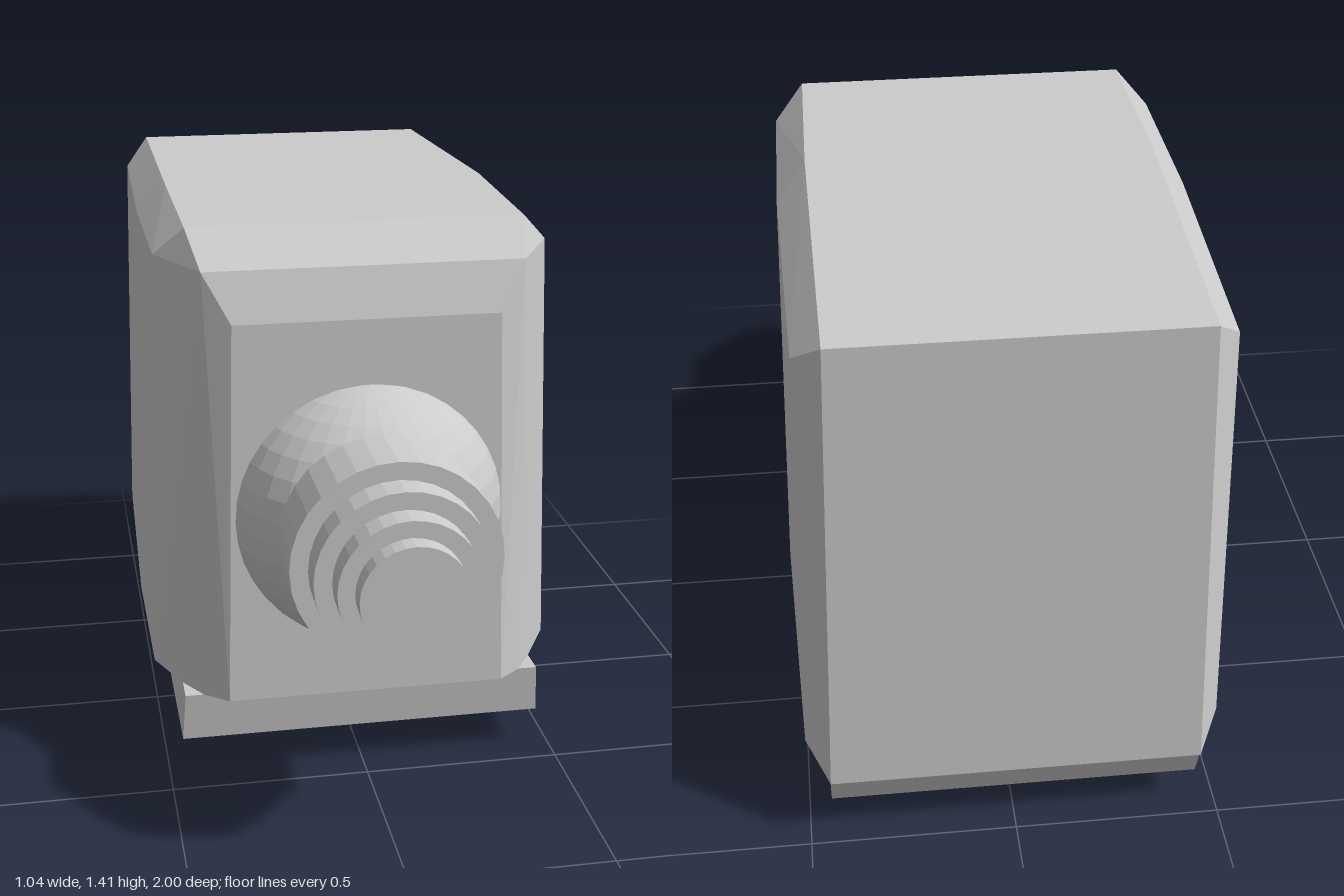
import * as THREE from 'three';
import { ConvexGeometry } from 'three/addons/geometries/ConvexGeometry.js';

const material = new THREE.MeshStandardMaterial({ color: 0xcccccc, flatShading: true });

function part(name, geometry, x = 0, y = 0, z = 0) {
  const mesh = new THREE.Mesh(geometry, material);
  mesh.name = name;
  mesh.position.set(x, y, z);
  return mesh;
}

// Convex solid from the corners of one half, mirrored across x.
function mirroredHull(corners) {
  const points = corners.flatMap(([x, y, z]) => [new THREE.Vector3(x, y, z), new THREE.Vector3(-x, y, z)]);
  return new ConvexGeometry(points);
}

export function createModel() {
  const model = new THREE.Group();
  model.name = 'model';

  // Chamfered housing, slightly tapered and bowed
  model.add(part('housing', mirroredHull([
    // roof edge
    [0.415, 1.4, 0.315], [0.42, 1.412, -0.15], [0.41, 1.395, -0.95],
    // side panel, top then bottom
    [0.488, 1.325, 0.255], [0.492, 1.328, -0.2], [0.475, 1.325, -0.87],
    [0.52, 0.25, 0.265], [0.522, 0.25, -0.2], [0.5, 0.255, -0.905],
    // underside edge
    [0.457, 0.23, 0.365], [0.465, 0.2, -0.15], [0.445, 0.2, -1],
    // front bevels
    [0.39, 1.32, 0.43], [0.41, 0.23, 0.44],
    [0.325, 1.2, 0.47], [0.35, 0.23, 0.487],
  ])));

  // Base plate
  model.add(part('base', mirroredHull([
    [0.457, 0.23, 0.44], [0.457, 0.2, -0.15], [0.443, 0.2, -0.998],
    [0.465, 0.1, 0.425], [0.465, 0.1, -0.15], [0.445, 0.108, -0.96],
  ])));

  // Wheels, mostly hidden inside the base
  for (const [end, z] of [['front', 0.13], ['rear', -0.585]]) {
    for (const [side, x] of [['Left', 0.288], ['Right', -0.283]]) {
      const wheel = new THREE.CylinderGeometry(0.25, 0.25, 0.285, 32).rotateZ(Math.PI / 2);
      model.add(part(`${end}${side}Wheel`, wheel, x, 0.25, z));
    }
  }

  // Ball mount and stepped barrel
  const axisX = 0.005;
  model.add(part('ballMount', new THREE.SphereGeometry(0.338, 32, 20), axisX, 0.707, 0.41));
  const steps = [[0.25, 0.45, 0.81], [0.207, 0.75, 0.885], [0.165, 0.83, 0.95], [0.125, 0.9, 1]];
  steps.forEach(([radius, back, front], i) => {
    const ring = new THREE.CylinderGeometry(radius, radius, front - back, 32).rotateX(Math.PI / 2);
    model.add(part(`barrelStep${i + 1}`, ring, axisX, 0.716, (front + back) / 2));
  });

  return model;
}
